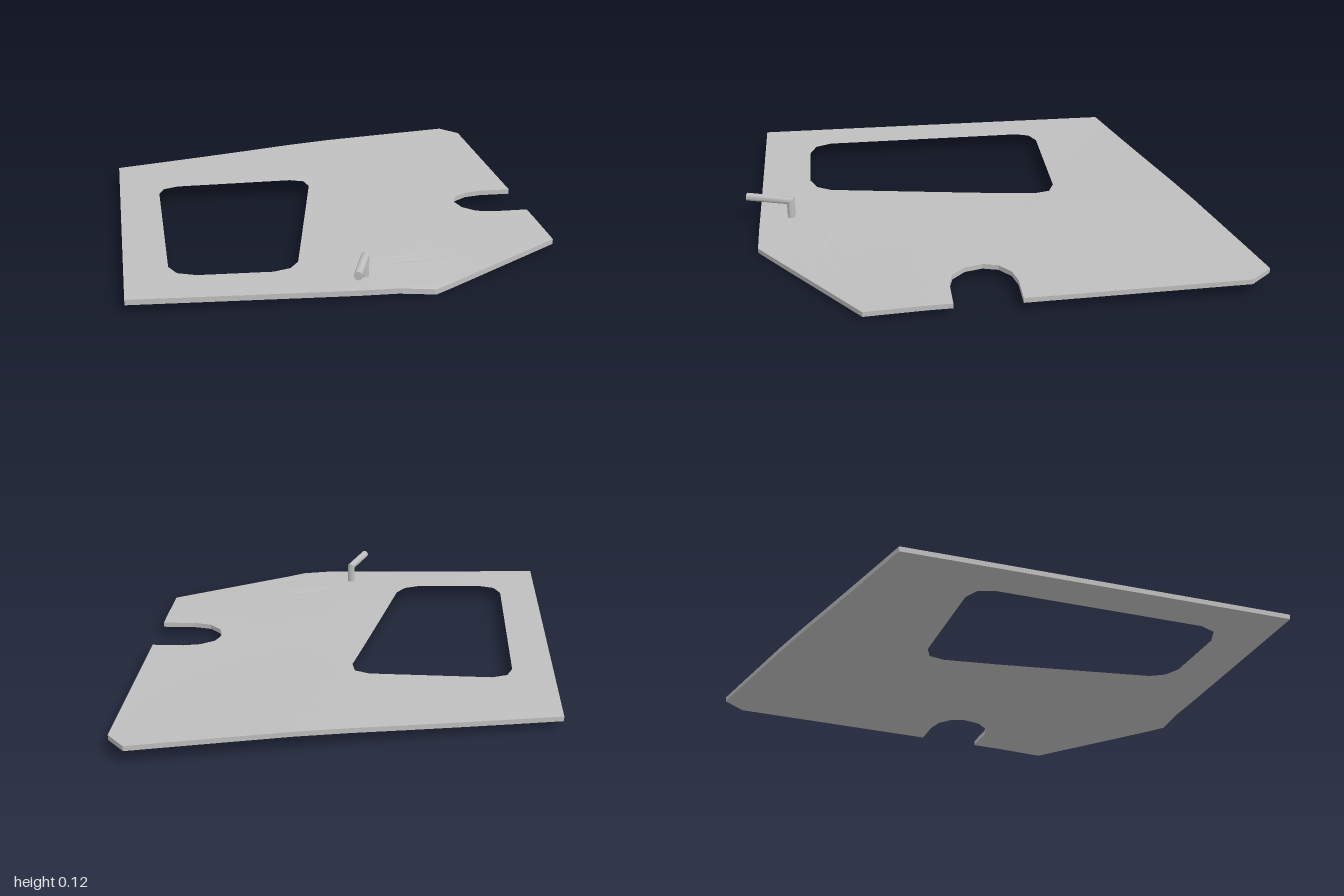
import * as THREE from 'three';
import { toCreasedNormals } from 'three/addons/utils/BufferGeometryUtils.js';

const THICKNESS = 0.02;

// Plan outlines as [x, z]
const OUTLINE = [
  [-0.85, -0.6], [0.73, -1], [0.805, -0.915], [0.83, -0.057],
  // rounded notch
  [0.7, -0.053], [0.63, -0.035], [0.575, 0.01], [0.557, 0.07],
  [0.575, 0.14], [0.625, 0.19], [0.69, 0.205], [0.836, 0.2],
  [0.847, 0.53], [0.295, 0.94], [-0.805, 0.97],
];
const WINDOW = [
  [-0.672, -0.19], [-0.65, -0.25], [-0.59, -0.278], [-0.1, -0.29],
  [-0.04, -0.265], [-0.026, -0.2], [-0.17, 0.66], [-0.205, 0.72],
  [-0.27, 0.75], [-0.55, 0.76], [-0.62, 0.735], [-0.65, 0.67],
];

const { clamp } = THREE.MathUtils;
const toPoints = (list) => list.map(([x, z]) => new THREE.Vector2(x, -z));

// Height of the gently twisted underside
function sheetHeight(x, z) {
  const twist = clamp((x + 0.85) / 0.9, 0, 1);
  const slope = z < 0 ? 0.032 - 0.009 * clamp((x - 0.05) / 0.7, 0, 1) : 0.021;
  const dip = 0.013 * clamp((x - 0.2) / 0.1, 0, 1) * clamp((z - 0.3) / 0.6, 0, 1);
  return 0.036 - twist * slope * z - dip;
}

// Split every triangle into four so that the sheet can bend
function subdivide(geometry) {
  const p = geometry.attributes.position;
  const out = [];
  const corner = (i) => new THREE.Vector3().fromBufferAttribute(p, i);
  for (let i = 0; i < p.count; i += 3) {
    const [a, b, c] = [corner(i), corner(i + 1), corner(i + 2)];
    const ab = a.clone().lerp(b, 0.5);
    const bc = b.clone().lerp(c, 0.5);
    const ca = c.clone().lerp(a, 0.5);
    for (const v of [a, ab, ca, ab, b, bc, ca, bc, c, ab, bc, ca]) out.push(v.x, v.y, v.z);
  }
  return new THREE.BufferGeometry().setAttribute('position', new THREE.Float32BufferAttribute(out, 3));
}

function panelGeometry() {
  const shape = new THREE.Shape(toPoints(OUTLINE));
  shape.holes.push(new THREE.Path(toPoints(WINDOW)));
  let geometry = new THREE.ExtrudeGeometry(shape, { depth: THICKNESS, bevelEnabled: false });
  geometry.rotateX(-Math.PI / 2);
  for (let i = 0; i < 3; i++) geometry = subdivide(geometry);
  const p = geometry.attributes.position;
  for (let i = 0; i < p.count; i++) p.setY(i, p.getY(i) + sheetHeight(p.getX(i), p.getZ(i)));
  geometry.computeVertexNormals();
  return toCreasedNormals(geometry, 0.5);
}

// Round bar: upright post, mitred elbow, level arm
function handleGeometry() {
  const radius = 0.016;
  const elbow = new THREE.Vector3(0.055, 0.112, 0.817);
  const up = new THREE.Vector3(0, 1, 0);
  const arm = new THREE.Vector3(-0.053, 0, 0.18);
  const length = arm.length();
  arm.normalize();
  const side = up.clone().cross(arm);
  const geometry = new THREE.CylinderGeometry(radius, radius, 2, 12, 2);
  const p = geometry.attributes.position;
  const v = new THREE.Vector3();
  for (let i = 0; i < p.count; i++) {
    const [a, row, b] = [p.getX(i), Math.round(p.getY(i)), p.getZ(i)];
    v.copy(elbow).addScaledVector(side, a);
    if (row < 0) v.addScaledVector(arm, b).setY(0.03);
    else v.addScaledVector(up, -b).addScaledVector(arm, row === 0 ? b : length);
    p.setXYZ(i, v.x, v.y, v.z);
  }
  return toCreasedNormals(geometry, 0.7);
}

export function createModel() {
  const group = new THREE.Group();
  group.name = 'cutoutPanel';
  const grey = new THREE.MeshStandardMaterial({ color: 0xbfbfbf });
  grey.name = 'light grey';

  const panel = new THREE.Mesh(panelGeometry(), grey);
  panel.name = 'panel';
  const handle = new THREE.Mesh(handleGeometry(), grey);
  handle.name = 'handle';
  group.add(panel, handle);
  return group;
}
